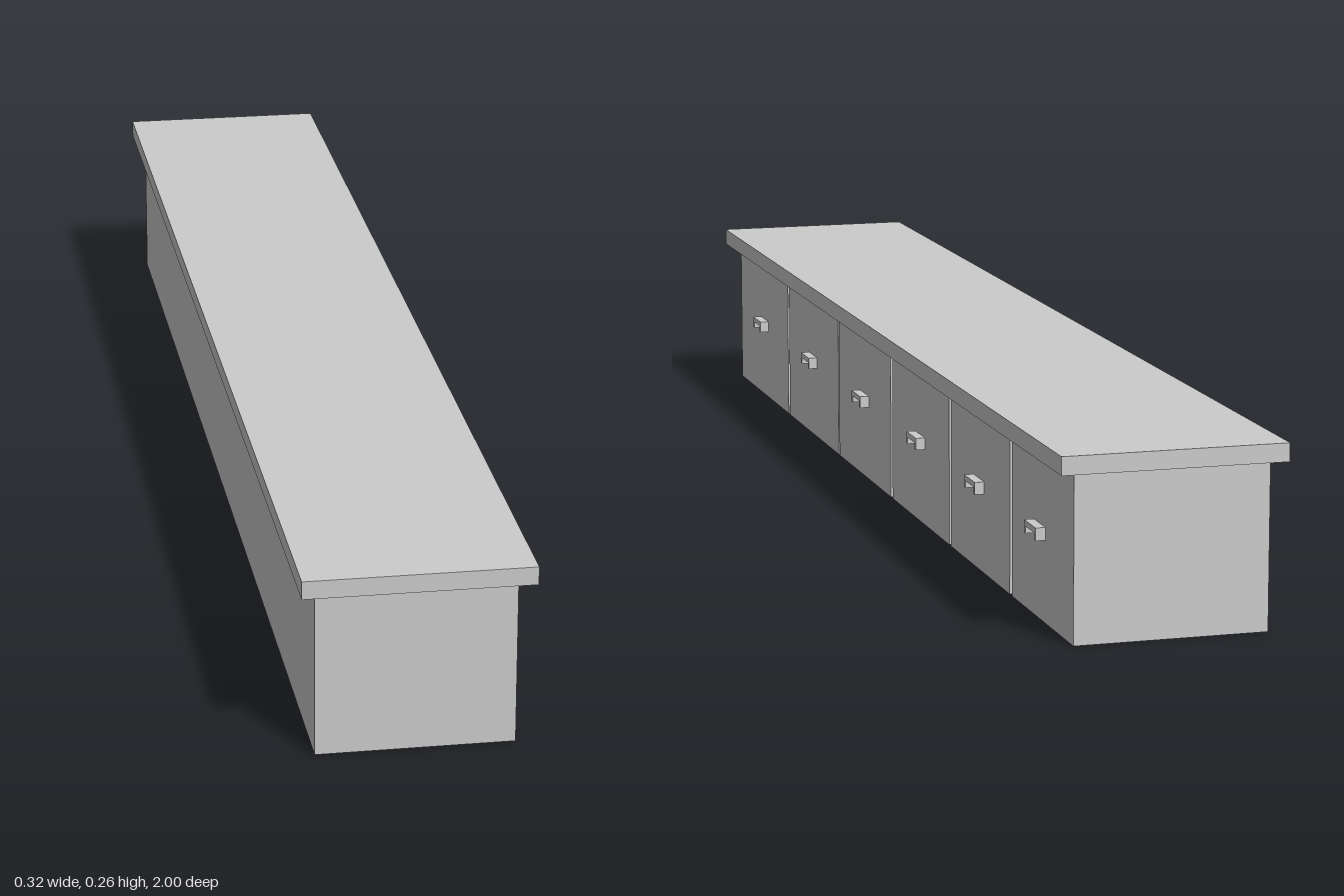
import * as THREE from 'three';

const material = new THREE.MeshStandardMaterial({ color: 0xcccccc, flatShading: true });

// Box given by its minimum and maximum corners
function box(name, [x0, y0, z0], [x1, y1, z1]) {
  const mesh = new THREE.Mesh(new THREE.BoxGeometry(x1 - x0, y1 - y0, z1 - z0), material);
  mesh.position.set((x0 + x1) / 2, (y0 + y1) / 2, (z0 + z1) / 2);
  mesh.name = name;
  return mesh;
}

// Bracket pull: a bar with two short turned-down ends, standing off the drawer front
function handle(x, z) {
  const w = 0.027, leg = 0.007;
  const shape = new THREE.Shape([
    [-w, 0.116], [-w + leg, 0.116], [-w + leg, 0.126], [w - leg, 0.126],
    [w - leg, 0.116], [w, 0.116], [w, 0.134], [-w, 0.134],
  ].map(([a, b]) => new THREE.Vector2(a, b)));
  const geometry = new THREE.ExtrudeGeometry(shape, { depth: 0.014, bevelEnabled: false });
  const mesh = new THREE.Mesh(geometry, material);
  mesh.rotation.y = Math.PI / 2;
  mesh.position.set(x, 0, z);
  mesh.name = 'handle';
  return mesh;
}

export function createModel() {
  const group = new THREE.Group();
  group.name = 'lowCabinet';

  const back = -0.14, face = 0.136, recess = 0.124, height = 0.238;
  const zMin = -0.98, zMax = 0.984;

  // Carcass and overhanging counter top
  group.add(box('carcass', [back, 0, zMin], [recess, height, zMax]));
  group.add(box('counterTop', [-0.16, height, -1], [0.16, 0.264, 1]));

  // Drawer fronts between the seams: [seam centre, half gap]
  const seams = [[zMax, 0], [0.626, 0.005], [0.281, 0.003], [-0.049, 0.005],
    [-0.38, 0.005], [-0.69, 0.005], [zMin, 0]];
  const pulls = [0.805, 0.455, 0.117, -0.214, -0.53, -0.826];
  pulls.forEach((z, i) => {
    const drawer = new THREE.Group();
    drawer.name = 'drawer' + (i + 1);
    const [hi, hiGap] = seams[i], [lo, loGap] = seams[i + 1];
    drawer.add(box('drawerFront', [recess, 0, lo + loGap], [face, height, hi - hiGap]));
    drawer.add(handle(face, z));
    group.add(drawer);
  });

  return group;
}
